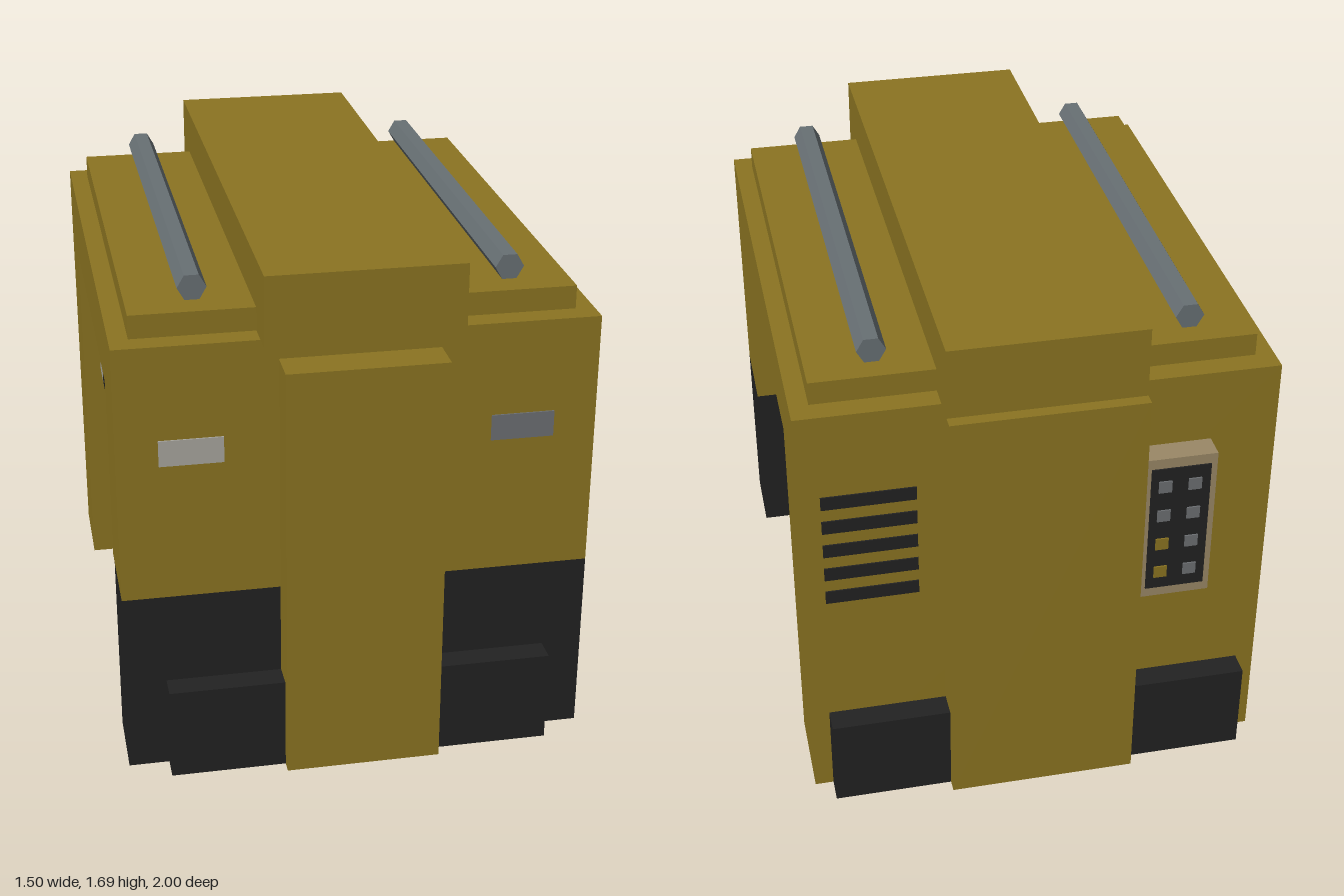
import * as THREE from 'three';

const mat = (name, color) => Object.assign(new THREE.MeshStandardMaterial({ color }), { name });

export function createModel() {
  const gold = mat('ochre', 0x8b7421);
  const shade = mat('dark ochre', 0x66551c);
  const black = mat('black', 0x222222);
  const light = mat('light grey', 0xa8a69e);
  const grey = mat('mid grey', 0x6c6f72);
  const steel = mat('steel', 0x687074);
  const tan = mat('tan', 0x9a8866);

  const model = new THREE.Group();
  model.name = 'gantry';

  const add = (name, geometry, material) => {
    const mesh = new THREE.Mesh(geometry, material);
    mesh.name = name;
    model.add(mesh);
    return mesh;
  };
  // box given by its min and max on each axis
  const box = (name, material, x0, x1, y0, y1, z0, z1) => {
    const g = new THREE.BoxGeometry(x1 - x0, y1 - y0, z1 - z0);
    g.translate((x0 + x1) / 2, (y0 + y1) / 2, (z0 + z1) / 2);
    return add(name, g, material);
  };
  // the same box on both sides of x = 0
  const pair = (name, material, x0, x1, ...rest) => {
    box(name + 'Left', material, x0, x1, ...rest);
    box(name + 'Right', material, -x1, -x0, ...rest);
  };

  // arched body: side profile (z, y) extruded across the width
  const profile = new THREE.Shape([
    [0.88, 0.615], [0.88, 1.46], [-0.88, 1.46], [-0.88, 0],
    [-0.575, 0], [-0.575, 1.23], [0.575, 1.23], [0.575, 0.615],
  ].map(([z, y]) => new THREE.Vector2(z, y)));
  const body = new THREE.ExtrudeGeometry(profile, { depth: 1.5, bevelEnabled: false });
  body.rotateY(-Math.PI / 2).translate(0.75, 0, 0);
  add('body', body, gold);
  box('frontLegBase', black, -0.75, 0.75, 0, 0.615, 0.63, 0.88);

  // roof
  box('roofPlate', gold, -0.69, 0.69, 1.46, 1.535, -0.805, 0.805);
  box('roofRidge', gold, -0.305, 0.305, 1.46, 1.69, -0.96, 0.96);
  for (const s of [-1, 1]) {
    const rod = new THREE.CylinderGeometry(0.045, 0.045, 1.5, 6).toNonIndexed();
    rod.rotateY(Math.PI / 6).rotateX(Math.PI / 2).translate(s * 0.49, 1.59, 0);
    rod.computeVertexNormals();
    add('roofRod', rod, steel);
  }

  // front and back columns with low bumpers beside them
  box('frontColumn', gold, -0.25, 0.25, 0, 1.395, 0.88, 1);
  box('backColumn', gold, -0.305, 0.305, 0, 1.46, -1, -0.88);
  pair('frontBumper', black, 0.25, 0.62, 0, 0.31, 0.88, 0.96);
  pair('backBumper', black, 0.305, 0.69, 0, 0.31, -0.96, -0.88);

  // front marker plates
  box('markerPlateRight', light, -0.62, -0.42, 1.07, 1.155, 0.88, 0.885);
  box('markerPlateLeft', grey, 0.415, 0.615, 1.07, 1.155, 0.88, 0.885);

  // recessed side skirts with a striped lower edge
  pair('sideSkirt', gold, 0.62, 0.69, 0.88, 1.23, -0.575, 0.575);
  for (let i = 0; i < 10; i++) {
    const z = 0.575 - i * 0.115;
    pair('warningStripe', i % 2 ? light : black, 0.62, 0.69, 0.77, 0.88, z - 0.115, z);
  }

  // dark panels on the inner faces of the legs
  box('backInnerPanel', shade, -0.53, 0.53, 0.22, 1.14, -0.575, -0.569);
  box('frontInnerPanel', shade, -0.53, 0.53, 0.69, 1.14, 0.569, 0.575);

  // back vents
  for (let i = 0; i < 5; i++) {
    const y = 1.15 - i * 0.09;
    box('vent', black, 0.385, 0.68, y - 0.023, y + 0.023, -0.885, -0.88);
  }

  // back control panel with two columns of buttons
  box('controlBox', tan, -0.54, -0.31, 0.69, 1.22, -0.96, -0.88);
  box('controlFace', black, -0.52, -0.33, 0.725, 1.185, -0.965, -0.96);
  for (let row = 0; row < 4; row++) {
    const y = 1.12 - row * 0.11;
    [-0.375, -0.47].forEach((x, col) => {
      const material = col === 0 && row > 1 ? gold : grey;
      box('button', material, x - 0.021, x + 0.021, y - 0.021, y + 0.021, -0.97, -0.965);
    });
  }
  return model;
}
